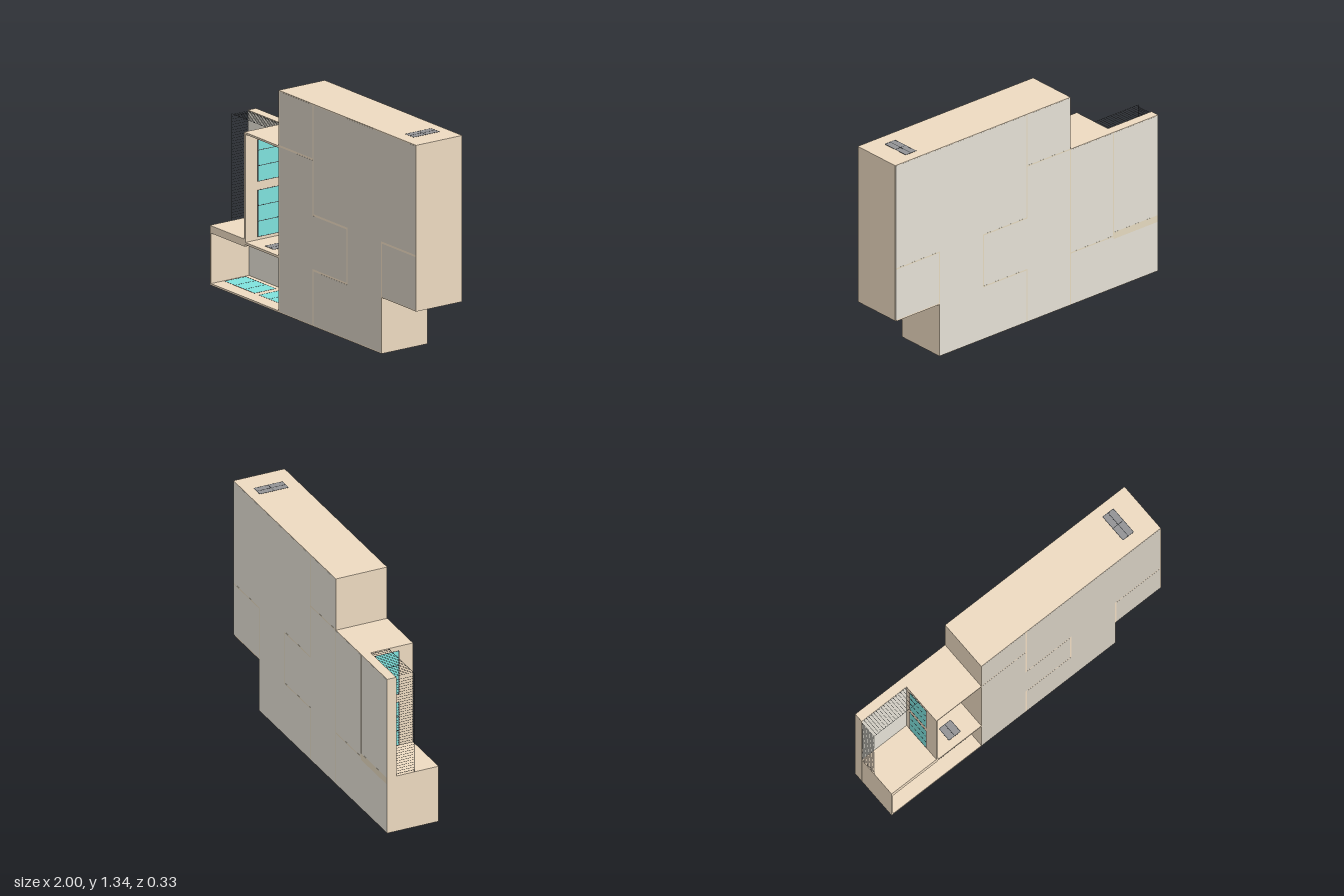
import * as THREE from 'three';

const mat = (color) => new THREE.MeshStandardMaterial({ color });
const tan = mat(0xeddac0), frontGrey = mat(0xd3ccbf), backGrey = mat(0xe4e0d5), backSeam = mat(0xe4d8bf);
const glass = mat(0x7ee1dc), dark = mat(0x3c3f42), smoke = mat(0x929294);

const D = 0.165;            // half depth
const BACK = -0.105;        // inner face of the thick back wall
const SKIN = 0.001;         // panels stand this proud of the body
const TOP = 1.337;          // roof of the main block
const STEP = 0.664;         // x of the step under the overhang

export function createModel() {
  const root = new THREE.Group();

  // box given by its two opposite corners
  function box(name, material, x0, x1, y0, y1, z0, z1, parent = root) {
    const m = new THREE.Mesh(new THREE.BoxGeometry(x1 - x0, y1 - y0, z1 - z0), material);
    m.position.set((x0 + x1) / 2, (y0 + y1) / 2, (z0 + z1) / 2);
    m.name = name;
    parent.add(m);
  }

  // flat outline pushed from z0 to z1
  function slab(name, material, points, z0, z1) {
    const shape = new THREE.Shape(points.map(([x, y]) => new THREE.Vector2(x, y)));
    const m = new THREE.Mesh(new THREE.ExtrudeGeometry(shape, { depth: z1 - z0, bevelEnabled: false }), material);
    m.position.z = z0;
    m.name = name;
    root.add(m);
  }

  // framed window lying in the xz plane, split along its length
  function windowUnit(name, length, width, thick, panes, pane, x, y, z, upright = false) {
    const g = new THREE.Group();
    g.name = name;
    const l = length / 2, w = width / 2, t = thick / 2, f = 0.0018;
    box('pane', pane, -l, l, -t + 0.0004, t - 0.0004, -w, w, g);
    for (const s of [-1, 1]) box('frameSide', dark, -l, l, -t, t, s * w - f, s * w + f, g);
    for (let i = 0; i <= panes; i++) {
      const p = -l + (length * i) / panes;
      box('frameBar', dark, p - f, p + f, -t, t, -w, w, g);
    }
    g.position.set(x, y, z);
    if (upright) g.rotation.z = Math.PI / 2;
    root.add(g);
  }

  // main block, without the hollow overhanging cell
  slab('mainBlock', tan, [[-0.333, SKIN], [STEP, SKIN], [STEP, 0.67], [1, 0.67], [1, TOP], [-0.333, TOP]],
    -D + SKIN, D - SKIN);

  // overhanging cell, open underneath
  box('overhangSide', tan, 0.988, 1, 0.338, 0.67, -D + SKIN, D - SKIN);
  box('overhangFront', tan, STEP, 0.988, 0.338, 0.67, D - 0.008, D - SKIN);
  box('overhangInnerPanel', frontGrey, STEP, 0.988, 0.34, 0.67, D - 0.01, D - 0.008);
  box('overhangBack', tan, STEP, 0.988, 0.333, 0.67, -D + SKIN, BACK);
  for (let x = 0.68; x < 0.985; x += 0.018)
    box('overhangSlat', dark, x - 0.001, x + 0.001, 0.339, 0.342, BACK, 0.01);
  box('overhangRail', dark, STEP, 0.99, 0.339, 0.342, 0.009, 0.011);

  // thick back wall of the open wing, lower where the tower roof covers it
  slab('wingBackWall', tan, [[-1, SKIN], [-0.333, SKIN], [-0.333, 0.991], [-0.667, 0.991], [-0.667, 1.003], [-1, 1.003]],
    -D + SKIN, BACK - SKIN);
  box('lowerRoomBackPanel', backGrey, -0.988, -0.335, 0.014, 0.325, BACK - SKIN, BACK);
  box('towerRoomBackPanel', backGrey, -0.653, -0.335, 0.345, 0.991, BACK - SKIN, BACK);
  box('terraceBackPanel', backGrey, -0.995, -0.667, 0.36, 0.998, BACK - SKIN, BACK);

  // lower room
  box('lowerFloor', tan, -1, -0.333, SKIN, 0.012, BACK, D);
  box('lowerEndWall', tan, -1, -0.988, SKIN, 0.32, BACK, D);
  box('terraceSlab', tan, -1, -0.66, 0.315, 0.36, BACK, D);
  box('towerFloor', tan, -0.667, -0.333, 0.328, 0.342, BACK, D);

  // tower room
  box('towerOuterWall', tan, -0.667, -0.655, 0.342, 0.991, BACK, D);
  box('towerRoof', tan, -0.667, -0.333, 0.991, 1.003, -D + SKIN, D);

  // windows in the floor and in the tower wall
  for (const x of [-0.833, -0.5, -0.167, 0.167])
    windowUnit('floorWindow', 0.29, 0.15, 0.0128, 3, glass, x, 0.0064, 0);
  windowUnit('smallFloorWindow', 0.26, 0.085, 0.0128, 4, glass, 0.5, 0.0064, 0.04);
  for (const y of [0.5, 0.833])
    windowUnit('towerWindow', 0.28, 0.15, 0.0136, 3, glass, -0.661, y, 0, true);

  // hatch in the tower floor and skylight in the roof
  windowUnit('floorHatch', 0.085, 0.09, 0.004, 2, smoke, -0.49, 0.341, 0.07);
  windowUnit('skylight', 0.078, 0.183, 0.004, 2, smoke, 0.825, TOP - 0.001, -0.0085);
  box('skylightCrossbar', dark, 0.786, 0.864, TOP - 0.003, TOP + 0.001, -0.0103, -0.0067);

  // slatted terrace screen and pergola
  const r = 0.0007;
  for (let y = 0.375; y < 1; y += 0.0165) box('screenRung', dark, -1, -1 + 2 * r, y - r, y + r, BACK, 0.01);
  box('screenPost', dark, -1, -0.9985, 0.36, 1.003, 0.0085, 0.01);
  box('pergolaRail', dark, -1, -0.667, 1.0015, 1.003, 0.0085, 0.01);
  for (let x = -0.985; x < -0.67; x += 0.018) box('pergolaSlat', dark, x - r, x + r, 1.0015, 1.003, BACK, 0.01);

  // front cladding: interlocking panels with tan joints between them
  const e = 0.006;
  const panels = [
    [[-0.333 + e, 1.003 + e], [-e, 1.003 + e], [-e, TOP - e], [-0.333 + e, TOP - e]],
    [[-0.333 + e, 0.008], [-e, 0.008], [-e, 0.338 + e], [0.33 - e, 0.338 + e], [0.33 - e, 0.67 - e],
      [-e, 0.67 - e], [-e, 1.003 - e], [-0.333 + e, 1.003 - e]],
    [[e, 0.008], [STEP - e, 0.008], [STEP - e, 0.67 + e], [1 - e, 0.67 + e], [1 - e, TOP - e], [e, TOP - e],
      [e, 0.67 + e], [0.33 + e, 0.67 + e], [0.33 + e, 0.338 - e], [e, 0.338 - e]],
    [[STEP + e, 0.338 + e], [1 - e, 0.338 + e], [1 - e, 0.67 - e], [STEP + e, 0.67 - e]],
  ];
  panels.forEach((p) => slab('frontPanel', frontGrey, p, D - 2 * SKIN, D - SKIN / 2));

  // back cladding: one sheet with faint joints
  slab('backPanel', backGrey, [[-0.996, 0.005], [STEP - 0.004, 0.005], [STEP - 0.004, 0.342], [0.996, 0.342],
    [0.996, TOP - 0.004], [-0.329, TOP - 0.004], [-0.329, 0.999], [-0.996, 0.999]], -D + 0.0004, -D + 2 * SKIN);
  const joints = [
    [0, 0, 0.67, 1.33], [0, 0.33, 0.67, 0.67], [0.33, 0.33, 0.338, 0.67], [0, 0.33, 0.338, 0.338], [0, 0, 0.01, 0.338],
    [-0.325, 0, 1.003, 1.003], [STEP, STEP, 0.347, 0.67], [STEP, 0.99, 0.67, 0.67], [-0.333, -0.333, 0.01, 0.994],
    [-0.66, -0.66, 0.338, 0.994], [-0.66, -0.34, 0.335, 0.335],
  ];
  for (const [x0, x1, y0, y1] of joints)
    box('backJoint', backSeam, x0 - 0.004, x1 + 0.004, y0 - 0.004, y1 + 0.004, -D, -D + SKIN);
  box('backSlabBand', backSeam, -0.994, -0.66, 0.317, 0.36, -D, -D + SKIN);

  return root;
}
